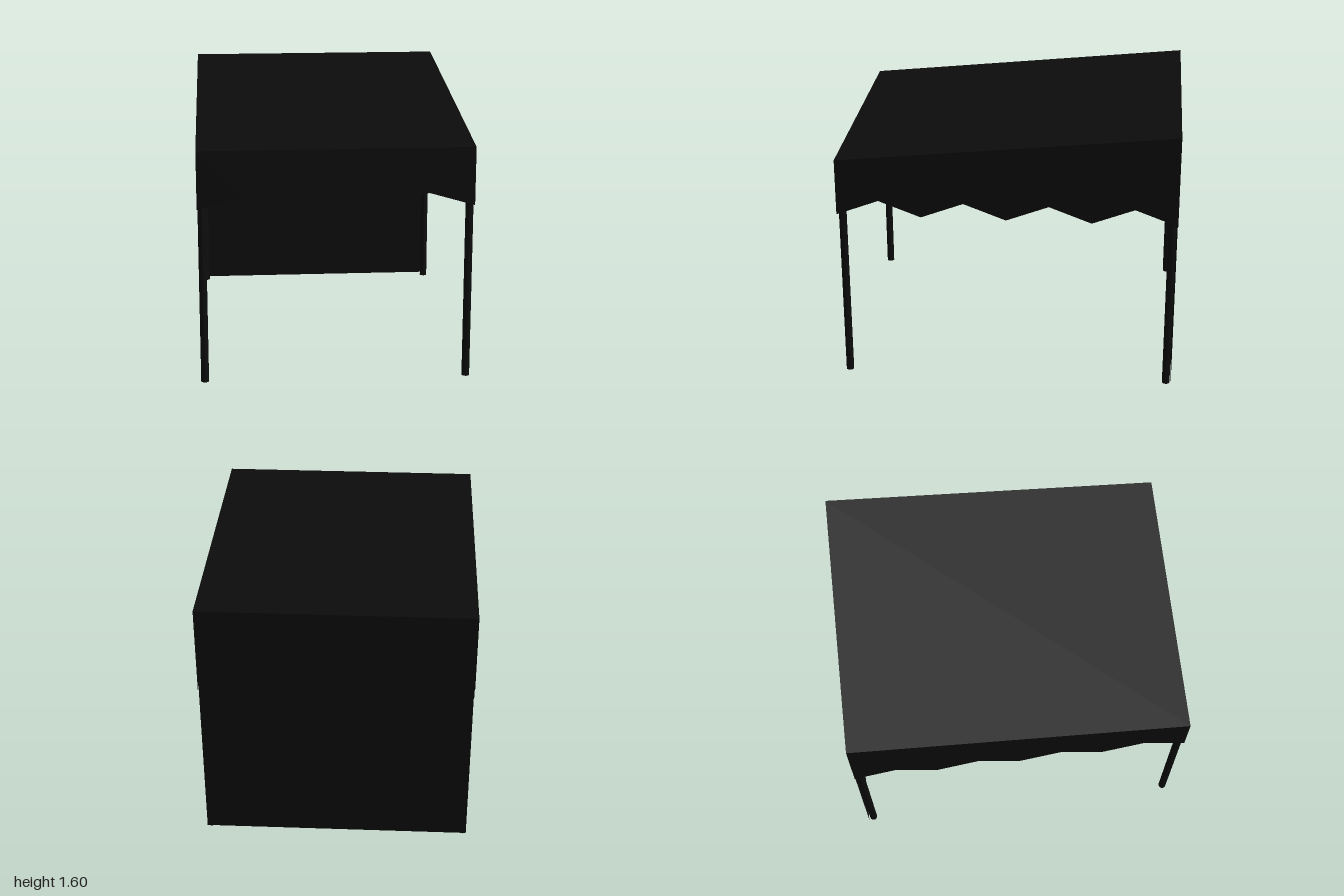
import * as THREE from 'three';

const W = 0.795, D = 1; // half width, half depth
const FRONT_Y = 1.39, BACK_Y = 1.595; // roof edge heights
const LOW = 1.048; // tips of the zigzag hem

// Roof height at depth z
const roofY = (z) => THREE.MathUtils.mapLinear(z, -D, D, BACK_Y, FRONT_Y);

const cloth = new THREE.MeshStandardMaterial({ color: 0x0c0c0c, side: THREE.DoubleSide });
const pole = new THREE.MeshStandardMaterial({ color: 0x0c0c0c });

function add(group, name, geometry, material = cloth) {
  const mesh = new THREE.Mesh(geometry, material);
  mesh.name = name;
  group.add(mesh);
  return mesh;
}

// Hanging cloth panel with a sloped top edge and a zigzag hem
function valance(half, leftTop, rightTop, teeth, notch) {
  const shape = new THREE.Shape();
  shape.moveTo(half, rightTop);
  shape.lineTo(-half, leftTop);
  for (let i = 0; i <= teeth * 2; i++) {
    shape.lineTo(-half + (i * half) / teeth, i % 2 ? notch : LOW);
  }
  shape.closePath();
  return new THREE.ShapeGeometry(shape);
}

export function createModel() {
  const group = new THREE.Group();
  group.name = 'canopy';

  // Sloping roof sheet
  const roof = new THREE.PlaneGeometry(2 * W, 2 * D).rotateX(-Math.PI / 2);
  const pos = roof.attributes.position;
  for (let i = 0; i < pos.count; i++) pos.setY(i, roofY(pos.getZ(i)));
  roof.computeVertexNormals();
  add(group, 'roof', roof);

  // Front valance
  add(group, 'frontValance', valance(W, FRONT_Y, FRONT_Y, 3, 1.125)).position.z = D;

  // Side valances, turned so their left end is at the front
  for (const side of [1, -1]) {
    const geo = valance(D, FRONT_Y, BACK_Y, 4, 1.143).rotateY(Math.PI / 2);
    add(group, side > 0 ? 'leftValance' : 'rightValance', geo).position.x = side * W;
  }

  // Full back wall
  const wallBottom = 0.01;
  const wall = new THREE.PlaneGeometry(2 * W - 0.01, BACK_Y - wallBottom);
  add(group, 'backWall', wall).position.set(0, (BACK_Y + wallBottom) / 2, -D + 0.003);

  // Four round legs reaching up to the roof
  for (const sx of [1, -1]) {
    for (const sz of [1, -1]) {
      const z = sz * 0.967;
      const h = roofY(z) - 0.015;
      const name = (sz > 0 ? 'front' : 'back') + (sx > 0 ? 'Left' : 'Right') + 'Leg';
      add(group, name, new THREE.CylinderGeometry(0.023, 0.023, h, 16), pole)
        .position.set(sx * 0.768, h / 2, z);
    }
  }
  return group;
}
